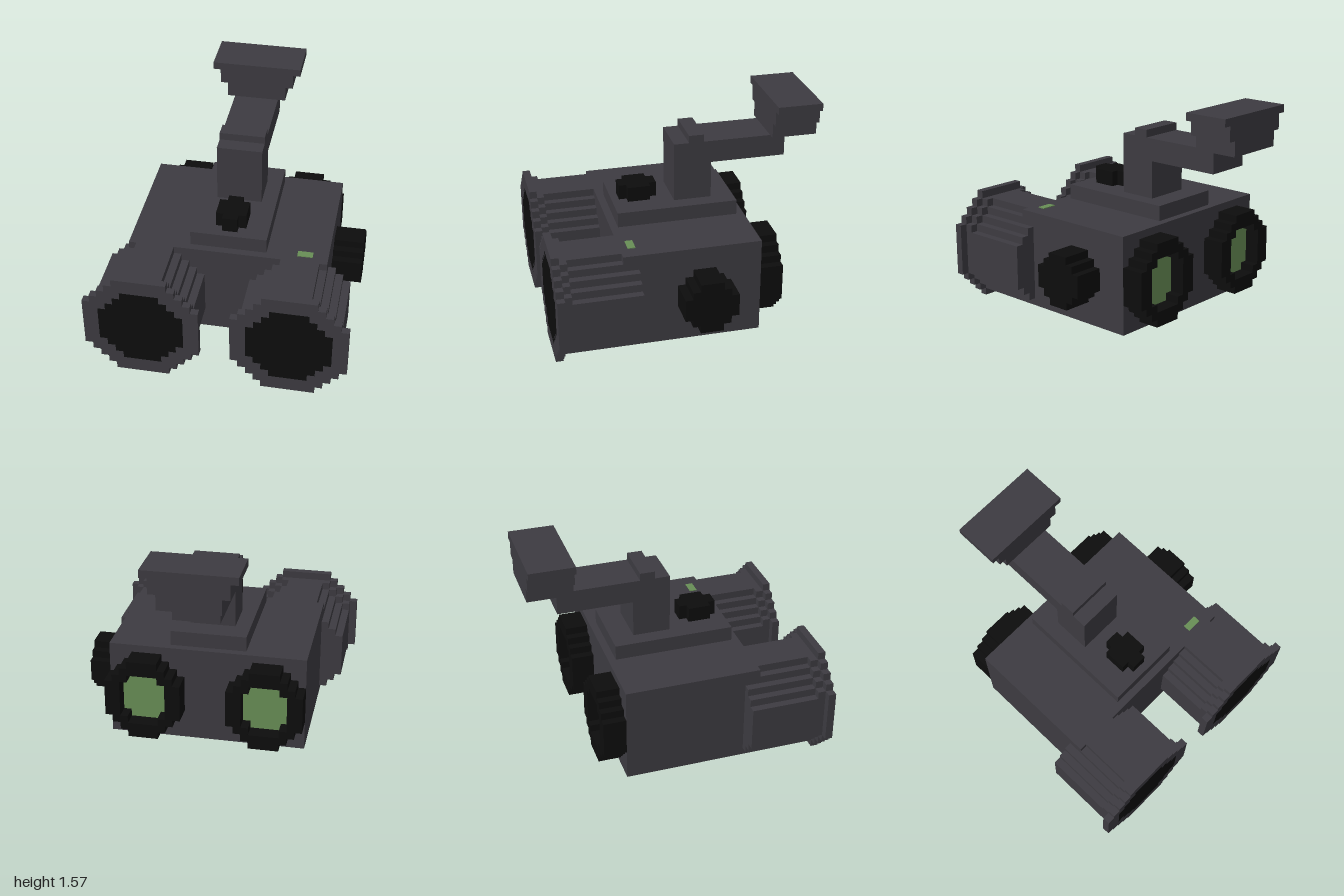
import * as THREE from 'three';

// Everything is laid out on a block grid; one block is U units
const U = 2 / 37;

const grey = new THREE.MeshStandardMaterial({ color: 0x3d3b41 });
grey.name = 'dark grey casing';
const black = new THREE.MeshStandardMaterial({ color: 0x0d0d0d });
black.name = 'black glass and rubber';
const green = new THREE.MeshStandardMaterial({ color: 0x688e56 });
green.name = 'green glow';

// Row widths (bottom to top) of the stepped round sections
const FLANGE = [7, 9, 11, 13, 15, 15, 15, 15, 15, 15, 15, 13, 11, 9, 7];
const COLLAR = [7, 9, 11, 13, 13, 13, 13, 13, 13, 13, 11, 9, 7];
const BARREL = [7, 9, 11, 13, 13, 13, 13, 13, 13, 11, 9, 7, 5];
const LENS = [5, 7, 9, 11, 11, 11, 11, 11, 9, 7, 5];
const EYECUP = [4, 6, 8, 10, 10, 10, 10, 10, 8, 6, 4];
const EYE = [4, 6, 6, 6, 6, 6, 4];
const DIAL = [3, 5, 7, 7, 7, 5, 3];
const BUTTON = [2, 4, 4, 4, 2];

// Stepped outline centred on the origin
function outline(rows) {
  const right = [];
  rows.forEach((w, i) => {
    const y = i - rows.length / 2;
    if (rows[i - 1] !== w) right.push(new THREE.Vector2(w / 2, y));
    if (rows[i + 1] !== w) right.push(new THREE.Vector2(w / 2, y + 1));
  });
  const left = right.map((p) => new THREE.Vector2(-p.x, p.y)).reverse();
  return [...right, ...left];
}

// Stepped disc or ring, extruded from z = 0 to z = depth
function stepped(rows, depth, holeRows) {
  const shape = new THREE.Shape(outline(rows));
  if (holeRows) shape.holes.push(new THREE.Path(outline(holeRows)));
  return new THREE.ExtrudeGeometry(shape, { depth, bevelEnabled: false });
}

export function createModel() {
  const model = new THREE.Group();
  model.name = 'goggles';
  const blocks = new THREE.Group();
  blocks.name = 'blocks';
  blocks.scale.setScalar(U);
  model.add(blocks);

  function add(name, geometry, material, x, y, z) {
    const mesh = new THREE.Mesh(geometry, material);
    mesh.name = name;
    mesh.position.set(x, y, z);
    blocks.add(mesh);
  }
  function box(name, material, x0, x1, y0, y1, z0, z1) {
    add(name, new THREE.BoxGeometry(x1 - x0, y1 - y0, z1 - z0), material,
      (x0 + x1) / 2, (y0 + y1) / 2, (z0 + z1) / 2);
  }

  // Main housing and raised top plate
  box('body', grey, -13, 13, 1, 14, -8.5, 9.5);
  box('topPlate', grey, -5, 5, 14, 16, -7.5, 8.5);
  box('indicatorLight', green, 9, 11, 14, 14.1, 7.5, 8.5);

  for (const [side, s] of [['left', 1], ['right', -1]]) {
    // Front barrels with collar, flange and flush lens
    add(side + 'Barrel', stepped(BARREL, 9), grey, s * 9.5, 7.5, 7.5);
    add(side + 'BarrelCollar', stepped(COLLAR, 1), grey, s * 9.5, 7.5, 16.5);
    add(side + 'BarrelFlange', stepped(FLANGE, 1, LENS), grey, s * 9.5, 7.5, 17.5);
    add(side + 'FrontLens', stepped(LENS, 1), black, s * 9.5, 7.5, 17.5);
    // Rear eyecups with recessed glowing eyepieces
    add(side + 'Eyecup', stepped(EYECUP, 3, EYE), black, s * 8, 7.5, -11.5);
    add(side + 'Eyepiece', stepped(EYE, 1), green, s * 8, 7.5, -9.5);
  }

  // Controls: button on top, dial on the left side
  add('topButton', stepped(BUTTON, 2).rotateX(-Math.PI / 2), black, 0, 16, 5);
  add('sideDial', stepped(DIAL, 4).rotateY(Math.PI / 2), black, 13, 7.5, -1);

  // Mounting arm
  box('mountPost', grey, -3, 3, 16, 24, -4.5, 0.5);
  box('mountArm', grey, -3, 3, 21, 24, -14.5, -4.5);
  box('mountRidge', grey, -3, 3, 24, 25, -3.5, -1.5);

  // Flared head of the mount
  for (const [half, y0, y1] of [[4, 24, 26], [5, 26, 28], [6, 28, 29]]) {
    box('mountHead', grey, -half, half, y0, y1, -18.5, -12.5);
  }
  return model;
}
